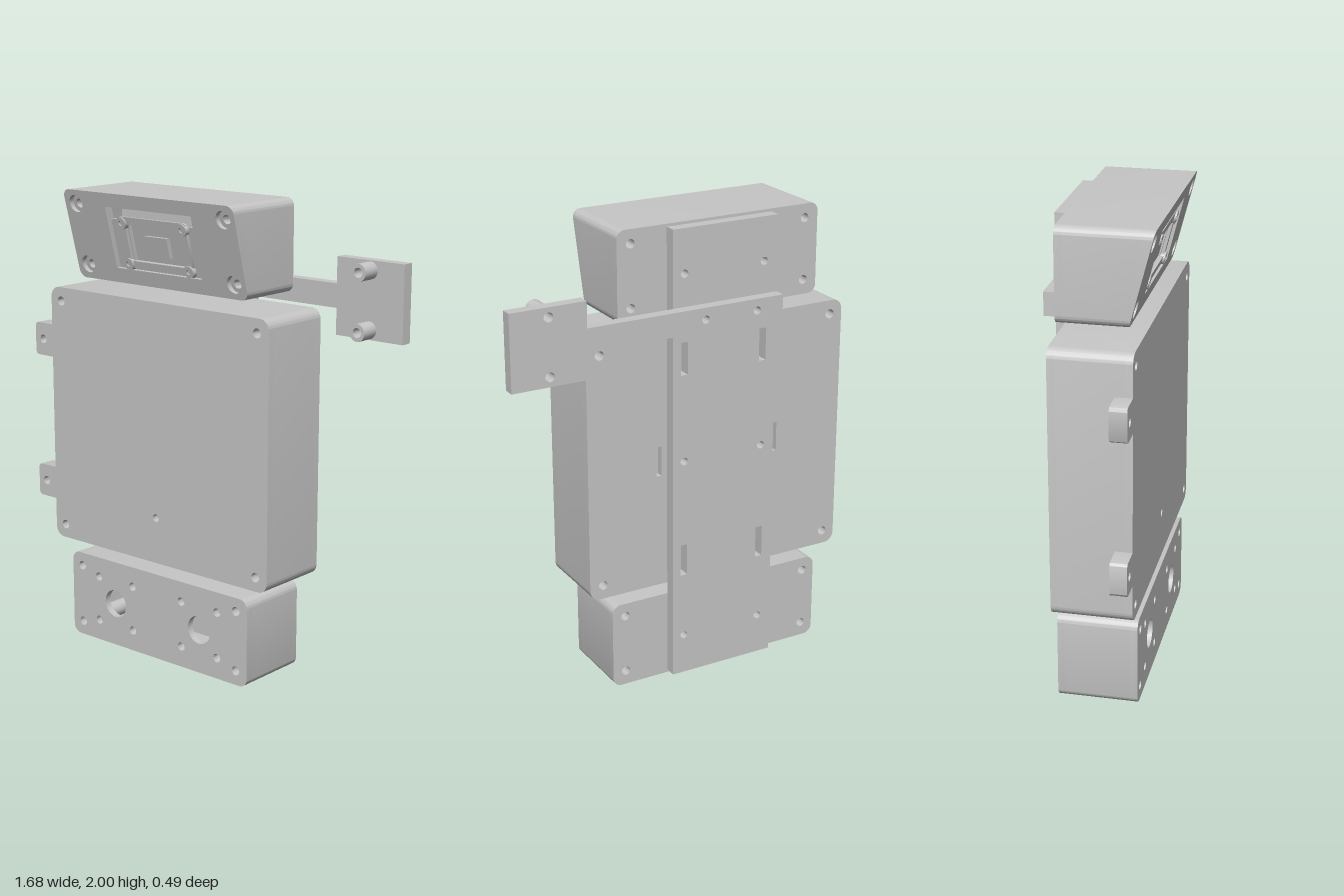
import * as THREE from 'three';
import { toCreasedNormals } from 'three/addons/utils/BufferGeometryUtils.js';

const grey = new THREE.MeshStandardMaterial({ color: 0xc6c6c6 });
grey.name = 'light grey plastic';

// Rounded rectangle outline from corner to corner
function rect(x0, y0, x1, y1, r = 0, Type = THREE.Shape) {
  const s = new Type();
  if (!r) {
    s.moveTo(x0, y0).lineTo(x1, y0).lineTo(x1, y1).lineTo(x0, y1).closePath();
    return s;
  }
  s.absarc(x1 - r, y0 + r, r, -Math.PI / 2, 0);
  s.absarc(x1 - r, y1 - r, r, 0, Math.PI / 2);
  s.absarc(x0 + r, y1 - r, r, Math.PI / 2, Math.PI);
  s.absarc(x0 + r, y0 + r, r, Math.PI, Math.PI * 1.5);
  s.closePath();
  return s;
}
const slot = (x, y, w, h) => rect(x - w / 2, y - h / 2, x + w / 2, y + h / 2, 0, THREE.Path);
const disc = (x, y, r, Type = THREE.Path) => new Type().absarc(x, y, r, 0, Math.PI * 2);
const circles = (points, r) => points.map(([x, y]) => disc(x, y, r));
const pairs = (xs, ys) => xs.flatMap((x) => ys.map((y) => [x, y]));

// Extrude an outline from z0 to z1; lean(y, z) optionally shifts z
function slab(parent, name, shape, holes, z0, z1, lean) {
  shape.holes.push(...holes);
  const geo = new THREE.ExtrudeGeometry(shape, { depth: z1 - z0, bevelEnabled: false, curveSegments: 10 });
  geo.translate(0, 0, z0);
  if (lean) {
    const p = geo.attributes.position;
    for (let i = 0; i < p.count; i++) p.setZ(i, p.getZ(i) + lean(p.getY(i), p.getZ(i)));
  }
  const mesh = new THREE.Mesh(toCreasedNormals(geo, 0.6), grey);
  mesh.name = name;
  parent.add(mesh);
}

const BACK = -0.142, FRONT = 0.19, WALL = 0.03;

// Hollow case: back plate, wall ring, front plate and screw columns
function hollowCase(parent, name, [x0, y0, x1, y1], r, screws, frontHoles, backHoles) {
  const g = new THREE.Group();
  g.name = name;
  parent.add(g);
  slab(g, 'backPlate', rect(x0, y0, x1, y1, r), [...circles(screws, 0.02), ...backHoles], BACK, BACK + WALL);
  slab(g, 'walls', rect(x0, y0, x1, y1, r),
    [rect(x0 + 0.02, y0 + 0.02, x1 - 0.02, y1 - 0.02, r - 0.015, THREE.Path)], BACK + WALL, FRONT - WALL);
  slab(g, 'frontPlate', rect(x0, y0, x1, y1, r), [...circles(screws, 0.02), ...frontHoles], FRONT - WALL, FRONT);
  for (const [x, y] of screws)
    slab(g, 'screwColumn', disc(x, y, 0.036, THREE.Shape), [disc(x, y, 0.02)], BACK + WALL, FRONT - WALL);
  return g;
}

export function createModel() {
  const model = new THREE.Group();
  model.name = 'deviceAssembly';
  const spineX = [-0.312, 0.058], armHoles = [[-0.252, 1.616], [-0.012, 1.616]];
  const mountHoles = (y) => circles(pairs(spineX, [y]), 0.017);

  // Long mounting spine with screw holes and strap slots
  slab(model, 'spine', rect(-0.374, 0.012, 0.11, 1.988), [
    ...circles(pairs(spineX, [0.192, 1.0, 1.803]), 0.017),
    ...circles(armHoles, 0.017),
    ...pairs(spineX, [0.55, 1.448]).map(([x, y]) => slot(x, y, 0.032, 0.14)),
  ], -0.193, BACK);

  // Side arm with square pad
  const arm = new THREE.Shape([[-0.374, 1.566], [0.515, 1.566], [0.515, 1.456], [0.84, 1.456], [0.84, 1.776],
    [0.515, 1.776], [0.515, 1.666], [-0.374, 1.666]].map(([x, y]) => new THREE.Vector2(x, y)));
  const padHoles = pairs([0.677], [1.496, 1.736]);
  slab(model, 'sideArm', arm, [...circles(armHoles, 0.017), ...circles(padHoles, 0.02)], -0.243, -0.193);
  for (const [x, y] of padHoles)
    slab(model, 'standoff', disc(x, y, 0.036, THREE.Shape), [disc(x, y, 0.02)], -0.193, -0.112);

  // Large middle case
  const main = hollowCase(model, 'mainCase', [-0.736, 0.436, 0.475, 1.566], 0.045,
    pairs([-0.677, 0.415], [0.496, 1.506]), [disc(-0.131, 0.637, 0.017)],
    [...mountHoles(1.0), slot(-0.412, 1.0, 0.022, 0.13), slot(0.148, 1.0, 0.022, 0.13)]);

  // Side tabs, rounded on the outer corners
  for (const y of [0.679, 1.324]) {
    const h = 0.072, r = 0.018, tab = new THREE.Shape();
    tab.moveTo(-0.734, y - h).lineTo(-0.734, y + h);
    tab.absarc(-0.84 + r, y + h - r, r, Math.PI / 2, Math.PI);
    tab.absarc(-0.84 + r, y - h + r, r, Math.PI, Math.PI * 1.5);
    tab.closePath();
    slab(main, 'sideTab', tab, [disc(-0.793, y, 0.019)], 0.12, FRONT);
  }

  // Lower case with two round openings
  hollowCase(model, 'lowerCase', [-0.635, 0, 0.373, 0.384], 0.04,
    pairs([-0.577, 0.313], [0.062, 0.325]), [
      ...circles([[-0.375, 0.192], [0.111, 0.192]], 0.062),
      ...circles(pairs([-0.475, -0.272, 0.011, 0.211], [0.092, 0.295]), 0.019),
    ], mountHoles(0.192));

  // Upper case with a front that leans forward
  const upper = new THREE.Group();
  upper.name = 'upperCase';
  model.add(upper);
  const lean = (y) => (y - 1.616) * 0.262;
  const leanFront = (y, z) => (z > 0 ? lean(y) : 0);
  const outline = () => rect(-0.598, 1.616, 0.332, 2, 0.035);
  const recess = () => rect(-0.368, 1.68, 0.104, 1.941, 0, THREE.Path);
  const screws = pairs([-0.536, 0.272], [1.678, 1.941]);
  slab(upper, 'backPlate', outline(), [...circles(screws, 0.019), ...mountHoles(1.803)], BACK, BACK + WALL);
  slab(upper, 'walls', outline(), [rect(-0.578, 1.636, 0.312, 1.98, 0.02, THREE.Path)], BACK + WALL, 0.103, leanFront);
  slab(upper, 'innerFace', outline(), [...circles(screws, 0.019), recess()], 0.103, 0.12, lean);
  slab(upper, 'outerFace', outline(), [...circles(screws, 0.037), recess()], 0.12, 0.143, lean);
  for (const [x, y] of screws)
    slab(upper, 'screwColumn', disc(x, y, 0.034, THREE.Shape), [disc(x, y, 0.019)], BACK + WALL, 0.103, leanFront);

  // Camera plate in the recess, with an upright board showing above it
  slab(upper, 'uprightBoard', rect(-0.378, 1.67, 0.114, 1.96), [], 0.1, 0.115);
  slab(upper, 'cameraPlate', rect(-0.368, 1.68, 0.104, 1.89),
    [rect(-0.275, 1.718, 0.012, 1.872, 0, THREE.Path)], 0.103, 0.12, lean);
  slab(upper, 'cameraFrame', rect(-0.315, 1.688, 0.055, 1.905, 0.01),
    [rect(-0.282, 1.718, 0.023, 1.873, 0, THREE.Path)], 0.12, 0.134, lean);
  slab(upper, 'cameraBoard', rect(-0.285, 1.705, 0.022, 1.885), [], 0.085, 0.103, lean);
  slab(upper, 'sensor', rect(-0.195, 1.746, -0.072, 1.83), [], 0.103, 0.122, lean);
  for (const [x, y] of pairs([-0.297, 0.036], [1.703, 1.877]))
    slab(upper, 'cameraPost', disc(x, y, 0.026, THREE.Shape), [disc(x, y, 0.011)], 0.12, 0.142, lean);

  return model;
}
